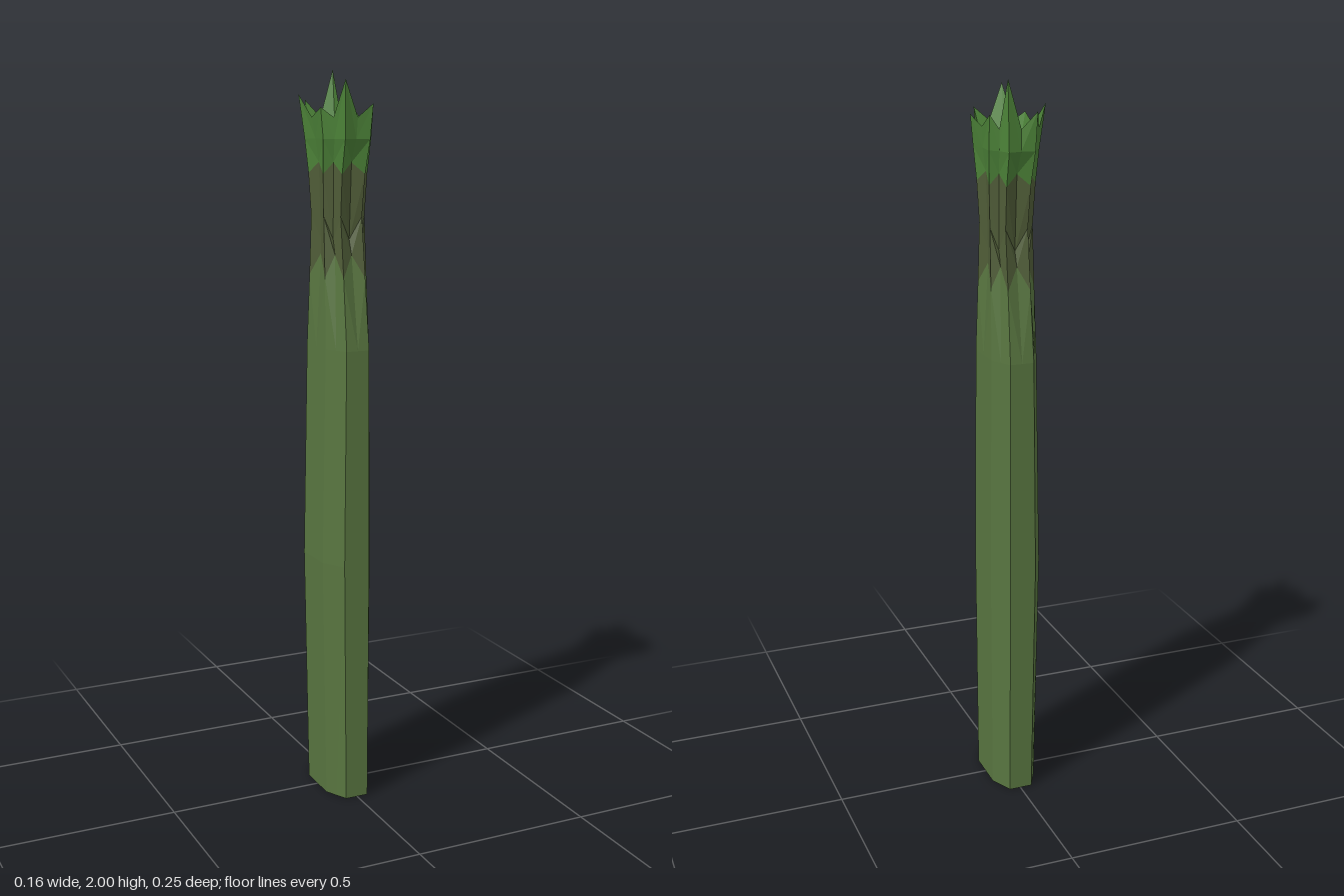
import * as THREE from 'three';

const mat = (name, color) => {
  const m = new THREE.MeshStandardMaterial({ color, flatShading: true, side: THREE.DoubleSide });
  m.name = name;
  return m;
};

// Eight-sided outline [x, z], counter-clockwise seen from above
const BODY = [[-0.034, 0.125], [0.032, 0.125], [0.062, 0.062], [0.062, -0.06],
  [0.032, -0.122], [-0.034, -0.122], [-0.066, -0.06], [-0.066, 0.062]];

// Ring of 16 points: corners and the middles between them, pulled in by "pinch"
function ring(outline, y, { scale = [1, 1], pinch = 1, midY = y, shift = [0, 0] } = {}) {
  const pts = [];
  outline.forEach(([x, z, cornerY], i) => {
    const [nx, nz] = outline[(i + 1) % outline.length];
    pts.push(new THREE.Vector3(x * scale[0] + shift[0], cornerY ?? y, z * scale[1] + shift[1]));
    pts.push(new THREE.Vector3((x + nx) / 2 * scale[0] * pinch + shift[0], midY,
      (z + nz) / 2 * scale[1] * pinch + shift[1]));
  });
  return pts;
}

// Skin between successive rings, lower ring first for outward faces
function loft(name, material, rings) {
  const pos = [];
  for (let r = 0; r + 1 < rings.length; r++) {
    const lo = rings[r], hi = rings[r + 1], n = lo.length;
    for (let i = 0; i < n; i++) {
      const j = (i + 1) % n;
      // Diagonals alternate so that every corner keeps a clean ridge
      const tri = i % 2 ? [lo[i], lo[j], hi[j], lo[i], hi[j], hi[i]]
        : [lo[i], lo[j], hi[i], lo[j], hi[j], hi[i]];
      tri.forEach(p => pos.push(p.x, p.y, p.z));
    }
  }
  const g = new THREE.BufferGeometry();
  g.setAttribute('position', new THREE.Float32BufferAttribute(pos, 3));
  g.computeVertexNormals();
  const mesh = new THREE.Mesh(g, material);
  mesh.name = name;
  return mesh;
}

export function createModel() {
  const group = new THREE.Group();
  group.name = 'cutStalk';
  const stalk = mat('stalk green', 0x587540);
  const olive = mat('olive green', 0x505d38);
  const leaf = mat('leaf green', 0x4c8238);

  // Hollow stalk with a slight bulge
  const foot = ring(BODY, 0);
  const shoulder = ring(BODY, 1.27);
  group.add(loft('stalk', stalk, [foot,
    ring(BODY, 0.68, { scale: [1.12, 1.03], shift: [-0.003, 0] }), shoulder]));

  // Cut rim and the cavity above it
  const inner = ring(BODY, 0, { scale: [0.72, 0.84] });
  const roof = ring(BODY, 1.2, { scale: [0.72, 0.84] });
  group.add(loft('cutRim', stalk, [inner, foot]));
  group.add(loft('cavity', stalk, [roof, inner]));
  group.add(loft('cavityRoof', stalk, [ring(BODY, 1.2, { scale: [0, 0] }), roof]));

  // Folded neck
  const fold = ring(BODY, 1.46, { scale: [0.95, 0.82], pinch: 0.82, midY: 1.52 });
  const throat = ring(BODY, 1.62, { scale: [0.93, 0.66], pinch: 0.84, midY: 1.56 });
  const collar = ring(BODY, 1.73, { scale: [1, 0.77], pinch: 0.86, midY: 1.76 });
  group.add(loft('lowerNeck', stalk, [shoulder, fold]));
  group.add(loft('upperNeck', olive, [fold, throat, collar]));

  // Flared crown: x, z and height of each leaf tip
  const TIPS = [[-0.039, 0.128, 1.97], [0.04, 0.128, 1.91], [0.077, 0.052, 1.9], [0.07, -0.074, 1.91],
    [0.034, -0.108, 2.0], [-0.04, -0.125, 1.92], [-0.08, -0.078, 1.935], [-0.08, 0.064, 1.9]];
  const flare = ring(BODY, 1.82, { scale: [1.08, 0.97], pinch: 0.93 });
  const tips = ring(TIPS, 1.9, { pinch: 0.92, midY: 1.875 });
  group.add(loft('leafCrown', leaf, [collar, flare, tips]));

  // Funnel inside the crown
  const funnel = ring(BODY, 1.76, { scale: [0.7, 0.5], pinch: 0.8 });
  const pit = ring(BODY, 1.6, { scale: [0.35, 0.25] });
  group.add(loft('crownInside', leaf, [funnel, tips].reverse()));
  group.add(loft('crownThroat', olive, [funnel, pit, ring(BODY, 1.58, { scale: [0, 0] })]));

  return group;
}
